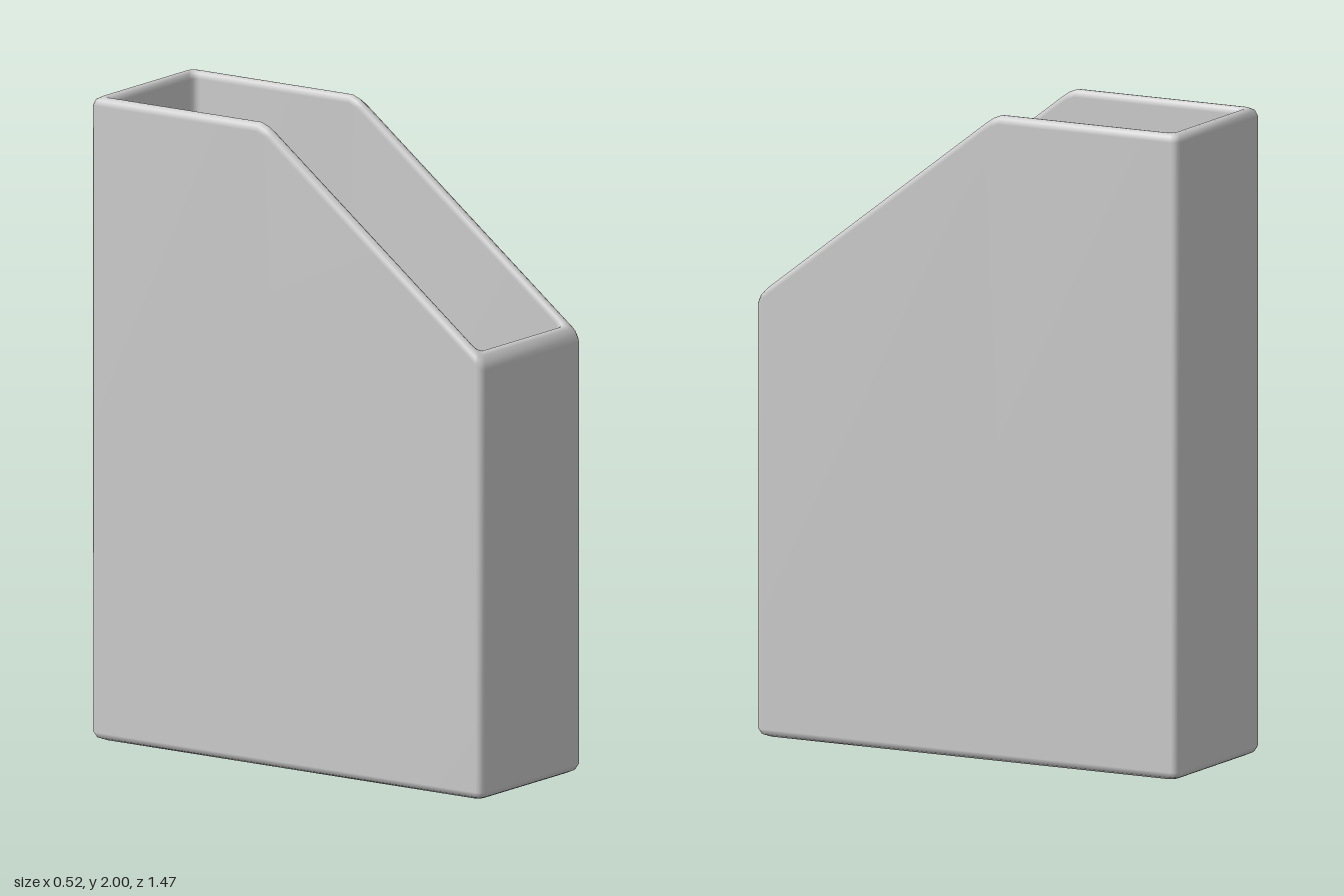
import * as THREE from 'three';

const HALF_X = 0.26, HALF_Z = 0.733, CORNER = 0.022;

// Rim line seen from the side, [z, y] from back to front
const RIM = [[-0.733, 2], [-0.11, 2], [-0.085, 1.99], [-0.06, 1.973], [0.733, 1.365]];

function rimHeight(z) {
  for (let i = 1; i < RIM.length; i++) {
    const [z0, y0] = RIM[i - 1], [z1, y1] = RIM[i];
    if (z <= z1) return y0 + (y1 - y0) * (z - z0) / (z1 - z0);
  }
  return RIM[RIM.length - 1][1];
}

// Rounded rectangle in plan, with extra points where the rim line bends
function planLoop(inset) {
  const points = [], steps = 3;
  const cx = HALF_X - inset - CORNER, cz = HALF_Z - inset - CORNER;
  const bends = RIM.slice(1, -1).map(p => p[0]);
  const corners = [[1, 1], [-1, 1], [-1, -1], [1, -1]];
  corners.forEach(([sx, sz], k) => {
    for (let i = 0; i <= steps; i++) {
      const a = (k + i / steps) * Math.PI / 2;
      points.push([sx * cx + CORNER * Math.cos(a), sz * cz + CORNER * Math.sin(a)]);
    }
    if (k === 1) [...bends].reverse().forEach(z => points.push([-HALF_X + inset, z]));
    if (k === 3) bends.forEach(z => points.push([HALF_X - inset, z]));
  });
  return points;
}

// Sections from the underside, up the outside, over the rim and down to the floor
const SECTIONS = [
  { inset: 0.025, y: 0 },
  { inset: 0.008, y: 0.008 },
  { inset: 0, y: 0.025 },
  { inset: 0, drop: 0.025 },
  { inset: 0.006, drop: 0.008 },
  { inset: 0.02, drop: 0 },
  { inset: 0.028, drop: 0 },
  { inset: 0.038, drop: 0.006 },
  { inset: 0.045, drop: 0.022 },
  { inset: 0.045, y: 0.065 },
  { inset: 0.05, y: 0.051 },
  { inset: 0.063, y: 0.045 },
];

function buildShell() {
  const positions = [], index = [];
  let n = 0;
  for (const s of SECTIONS) {
    const loop = planLoop(s.inset);
    n = loop.length;
    for (const [x, z] of loop) positions.push(x, s.y ?? rimHeight(z) - s.drop, z);
  }
  for (let i = 0; i < SECTIONS.length - 1; i++) {
    for (let j = 0; j < n; j++) {
      const k = (j + 1) % n;
      const a = i * n + j, b = i * n + k, c = a + n, d = b + n;
      index.push(a, c, b, b, c, d);
    }
  }
  // Underside and inner floor
  const floor = (SECTIONS.length - 1) * n;
  for (let j = 1; j < n - 1; j++) {
    index.push(0, j, j + 1);
    index.push(floor, floor + j + 1, floor + j);
  }
  const geometry = new THREE.BufferGeometry();
  geometry.setAttribute('position', new THREE.Float32BufferAttribute(positions, 3));
  geometry.setIndex(index);
  geometry.computeVertexNormals();
  return geometry;
}

export function createModel() {
  const group = new THREE.Group();
  group.name = 'magazineFile';
  const shell = new THREE.Mesh(buildShell(), new THREE.MeshStandardMaterial({ color: 0xcccccc }));
  shell.name = 'fileBox';
  group.add(shell);
  return group;
}
